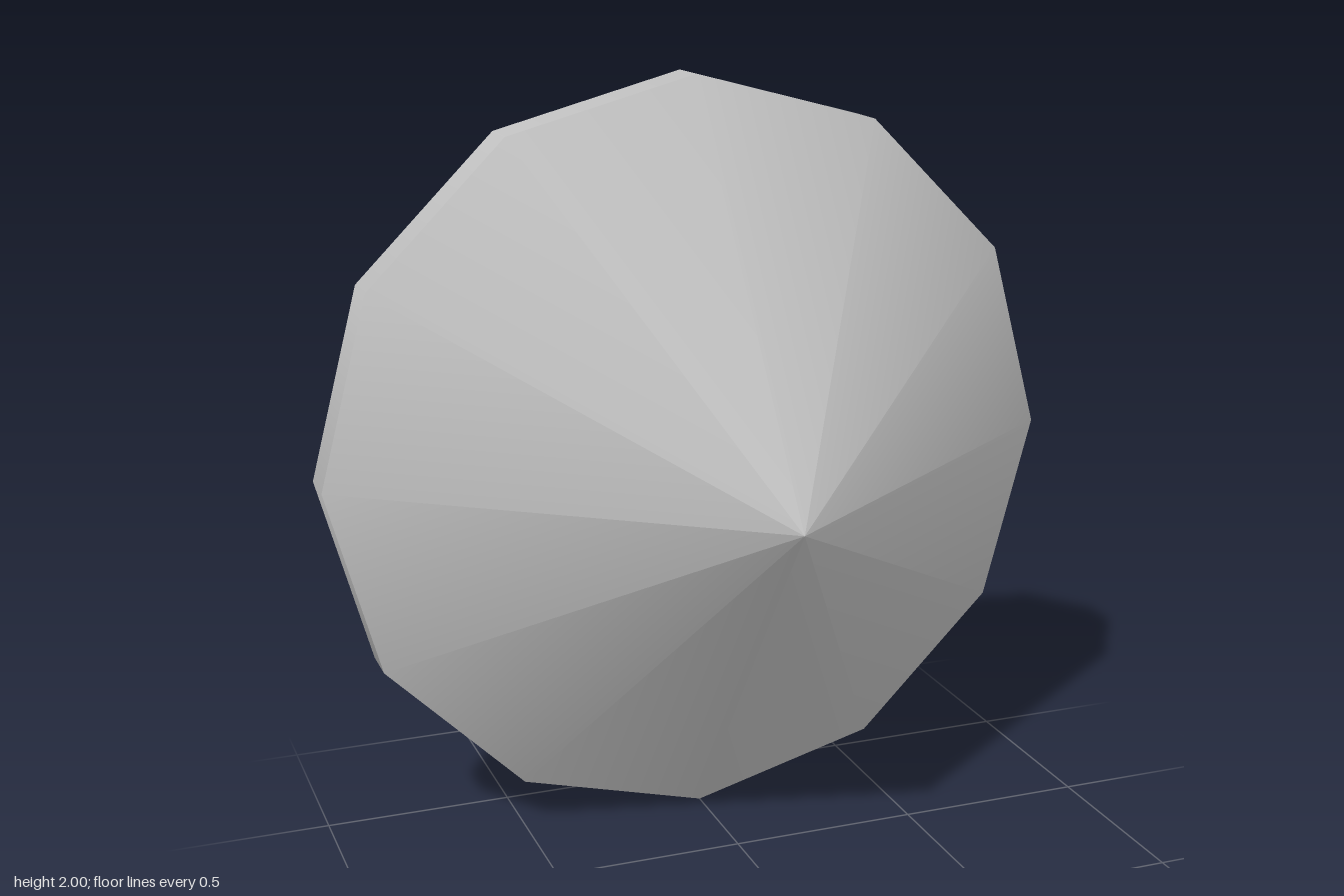
import * as THREE from 'three';

const SIDES = 12;

export function createModel() {
  const group = new THREE.Group();
  const grey = new THREE.MeshStandardMaterial({ color: 0xc0c0c0 });
  grey.name = 'light grey';

  // Adds a twelve-sided part whose axis runs along z, between zBack and zFront
  function addPart(name, frontRadius, backRadius, zBack, zFront, openEnded = false) {
    const geometry = new THREE.CylinderGeometry(
      frontRadius, backRadius, zFront - zBack, SIDES, 1, openEnded);
    geometry.rotateX(Math.PI / 2);
    const mesh = new THREE.Mesh(geometry, grey);
    mesh.name = name;
    mesh.position.set(0, 1, (zBack + zFront) / 2);
    group.add(mesh);
  }

  // Pointed front, open where it meets the rim
  addPart('cone', 0, 1, -0.30, 0.44, true);
  // Straight band behind the cone
  addPart('rim', 1, 1, -0.42, -0.30);
  // Slightly smaller plate closing the back
  addPart('backPlate', 0.95, 0.95, -0.44, -0.42);

  return group;
}
